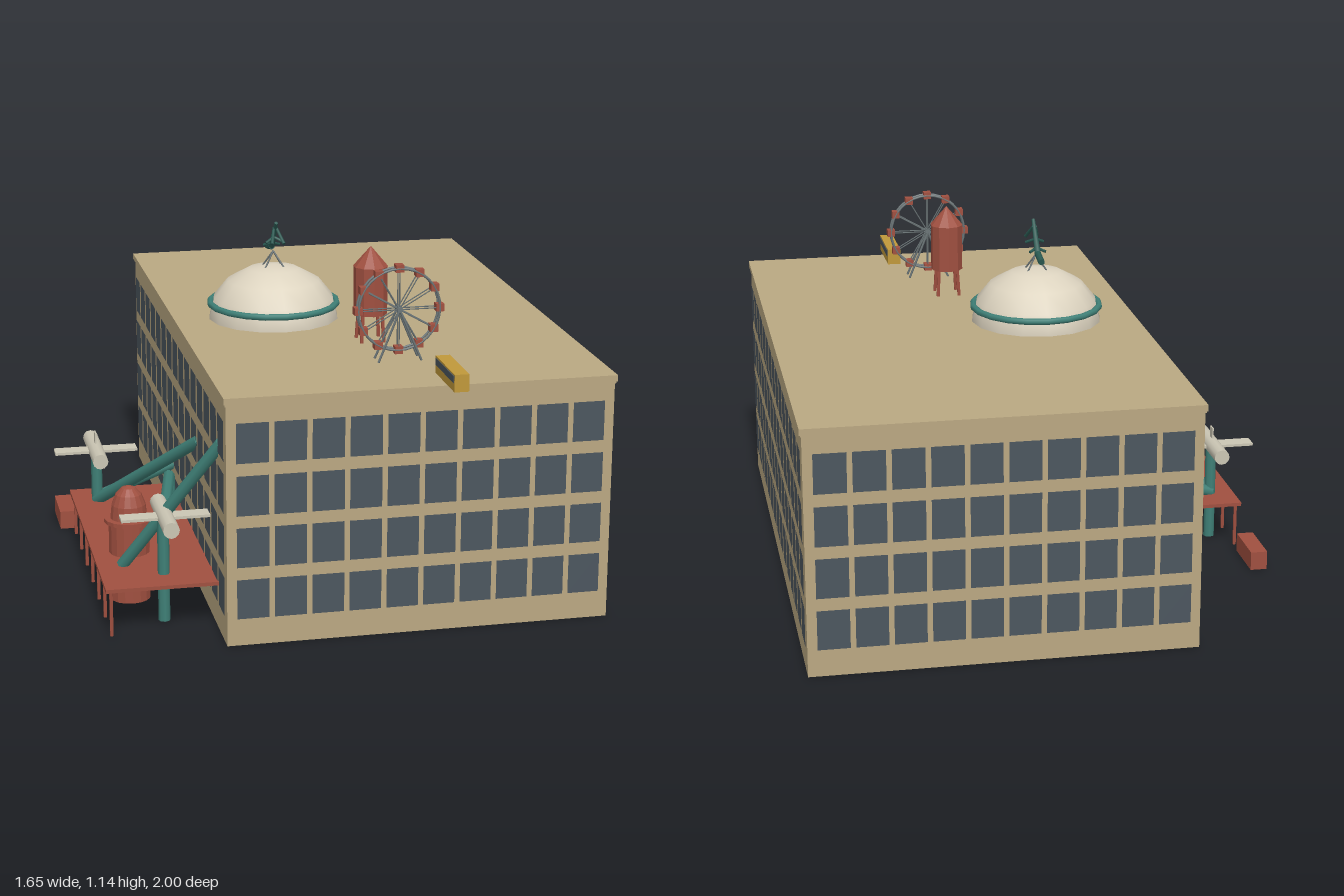
import * as THREE from 'three';

const mat = (name, color, side = THREE.FrontSide, flatShading = false) => {
  const m = new THREE.MeshStandardMaterial({ color, side, flatShading });
  m.name = name;
  return m;
};

export function createModel() {
  const model = new THREE.Group();
  const tan = mat('tanStone', 0xbaa882, THREE.DoubleSide);
  const glass = mat('windowGlass', 0x4c565f);
  const cream = mat('creamDome', 0xddd4c0, THREE.DoubleSide);
  const teal = mat('tealSteel', 0x3f8077);
  const darkTeal = mat('darkTealBronze', 0x2b5c54);
  const red = mat('rustRed', 0xa05040, THREE.DoubleSide, true);
  const yellow = mat('trolleyYellow', 0xc0983a);
  const pale = mat('paleMetal', 0xcbc6b4);
  const grey = mat('greyIron', 0x6c7678);

  const add = (name, geo, m, pos = [0, 0, 0], parent = model) => {
    const mesh = new THREE.Mesh(geo, m);
    mesh.name = name;
    mesh.position.set(...pos);
    parent.add(mesh);
    return mesh;
  };
  const group = (name, x, y, z) => {
    const g = new THREE.Group();
    g.name = name;
    g.position.set(x, y, z);
    model.add(g);
    return g;
  };
  const box = (name, w, h, d, m, pos, parent) => add(name, new THREE.BoxGeometry(w, h, d), m, pos, parent);
  // Round bar between two points
  const bar = (name, a, b, r, m, parent, r2 = r, sides = 8) => {
    const p = new THREE.Vector3(...a), q = new THREE.Vector3(...b);
    const d = q.clone().sub(p);
    const mesh = add(name, new THREE.CylinderGeometry(r2, r, d.length(), sides), m, [0, 0, 0], parent);
    mesh.position.copy(p).add(q).multiplyScalar(0.5);
    mesh.quaternion.setFromUnitVectors(new THREE.Vector3(0, 1, 0), d.normalize());
    return mesh;
  };
  // Box with some faces left out (0..5 = +x -x +y -y +z -z)
  const openBox = (w, h, d, omit) => {
    const g = new THREE.BoxGeometry(w, h, d);
    const index = Array.from(g.index.array).filter((_, i) => !omit.includes(Math.floor(i / 6)));
    g.setIndex(index);
    g.clearGroups();
    return g;
  };

  // Building: hollow walls, open below, with a cornice slab
  const X0 = -0.41, X1 = 0.815, Z0 = -0.993, Z1 = 0.915;
  const cx = (X0 + X1) / 2, cz = (Z0 + Z1) / 2;
  add('walls', openBox(X1 - X0, 0.775, Z1 - Z0, [2, 3]), tan, [cx, 0.3875, cz]);
  box('corniceLower', X1 - X0 + 0.006, 0.012, Z1 - Z0 + 0.006, tan, [cx, 0.779, cz]);
  box('roofCornice', X1 - X0 + 0.014, 0.02, Z1 - Z0 + 0.014, tan, [cx, 0.79, cz]);

  // Windows on all four walls
  const pane = new THREE.PlaneGeometry(0.101, 0.128);
  const rows = [0.152, 0.32, 0.487, 0.655];
  const windows = group('windows', 0, 0, 0);
  for (const y of rows) {
    for (let i = 0; i < 10; i++) {
      const x = cx + (i - 4.5) * 0.118;
      add('frontWindow', pane, glass, [x, y, Z1 + 0.003], windows);
      add('backWindow', pane, glass, [x, y, Z0 - 0.003], windows).rotation.y = Math.PI;
    }
    for (let i = 0; i < 15; i++) {
      const z = cz + (i - 7) * 0.125;
      add('leftWindow', pane, glass, [X1 + 0.003, y, z], windows).rotation.y = Math.PI / 2;
      add('rightWindow', pane, glass, [X0 - 0.003, y, z], windows).rotation.y = -Math.PI / 2;
    }
  }

  // Dome with its ring
  const dome = group('roofDome', -0.08, 0.8, 0);
  add('domeShell', new THREE.SphereGeometry(0.22, 16, 4, 0, Math.PI * 2, 0, Math.PI / 2), cream, [0, 0, 0], dome).scale.y = 0.82;
  add('domeRing', new THREE.TorusGeometry(0.214, 0.011, 8, 20), teal, [0, 0.05, 0], dome).rotation.x = Math.PI / 2;

  // Leaping ornament on a four-legged stand
  const orn = group('domeOrnament', -0.08, 0, 0);
  for (const sx of [-1, 1]) {
    for (const sz of [-1, 1])
      bar('standLeg', [sx * 0.036, 0.965, sz * 0.027], [0, 1.025, 0], 0.003, grey, orn, 0.003, 5);
    bar('foreLimb', [sx * 0.004, 1.112, 0.033], [sx * 0.02, 1.067, 0.083], 0.005, darkTeal, orn, 0.006, 5);
    bar('sideLimb', [0, 1.075, 0.012], [sx * 0.03, 1.06, 0.03], 0.005, darkTeal, orn, 0.005, 5);
    bar('hindLimb', [0, 1.05, -0.01], [sx * 0.027, 1.04, -0.03], 0.005, darkTeal, orn, 0.005, 5);
  }
  bar('ornamentTail', [0, 1.021, -0.095], [0, 1.036, -0.022], 0.011, darkTeal, orn, 0.011, 6);
  bar('ornamentBody', [0, 1.035, -0.028], [0, 1.132, 0.053], 0.011, darkTeal, orn, 0.006, 6);

  // Water tower
  const tower = group('waterTower', 0.168, 0.8, 0.365);
  add('tank', new THREE.CylinderGeometry(0.055, 0.055, 0.158, 10), red, [0, 0.169, 0], tower);
  add('tankRoof', new THREE.ConeGeometry(0.057, 0.066, 10), red, [0, 0.281, 0], tower);
  for (const sx of [-1, 1]) for (const sz of [-1, 1])
    bar('towerLeg', [sx * 0.037, 0, sz * 0.037], [sx * 0.032, 0.095, sz * 0.032], 0.006, red, tower, 0.006, 6);

  // Observation wheel
  const wheel = group('bigWheel', 0.2, 0.965, 0.608);
  for (const z of [-0.012, 0.012]) {
    add('wheelRim', new THREE.TorusGeometry(0.132, 0.004, 6, 32), grey, [0, 0, z], wheel);
    for (let i = 0; i < 12; i++) {
      const a = (i * Math.PI) / 6;
      bar('spoke', [0, 0, z], [0.132 * Math.cos(a), 0.132 * Math.sin(a), z], 0.002, grey, wheel, 0.002, 4);
    }
    for (const s of [-1, 1])
      bar('wheelLeg', [s * 0.07, -0.165, z * 2.2], [0, 0, z * 1.4], 0.004, grey, wheel, 0.004, 5);
  }
  for (let i = 0; i < 12; i++) {
    const a = (i * Math.PI) / 6;
    box('cabin', 0.026, 0.024, 0.03, red, [0.132 * Math.cos(a), 0.132 * Math.sin(a), 0], wheel);
  }
  bar('wheelHub', [0, 0, -0.02], [0, 0, 0.02], 0.009, grey, wheel);

  // Trolley car jutting over the front edge
  const trolley = group('trolley', 0.299, 0.828, 0.89);
  box('trolleyBody', 0.046, 0.055, 0.22, yellow, [0, 0, 0], trolley);
  for (const s of [-1, 1])
    box('trolleyWindows', 0.004, 0.022, 0.208, glass, [s * 0.023, 0.011, 0], trolley);

  // Side deck on thin posts
  box('deck', 0.362, 0.012, 0.97, red, [-0.584, 0.152, 0.285]);
  for (let i = 0; i < 7; i++)
    bar('deckPost', [-0.748, 0, -0.185 + i * 0.157], [-0.748, 0.15, -0.185 + i * 0.157], 0.006, red, model, 0.006, 6);

  // Silo through the deck
  const profile = [[0, 0], [0.066, 0], [0.066, 0.262], [0.08, 0.262], [0.08, 0.275], [0.06, 0.275],
    [0.055, 0.32], [0.042, 0.354], [0.022, 0.375], [0, 0.382]].map(p => new THREE.Vector2(...p));
  add('silo', new THREE.LatheGeometry(profile, 16), red, [-0.645, 0, 0.44]);

  // Teal columns and braces running into the wall
  const columns = [[-0.567, 0.345, 0.66], [-0.485, 0.345, 0.27], [-0.683, 0.32, -0.085]];
  for (const [x, y, z] of columns) bar('column', [x, 0, z], [x, y, z], 0.019, teal);
  bar('frontBrace', [-0.685, 0.158, 0.56], [-0.4, 0.615, 0.778], 0.02, teal);
  bar('middleBrace', [-0.685, 0.158, -0.08], [-0.4, 0.495, 0.37], 0.02, teal);
  bar('lowBrace', [-0.685, 0.165, -0.088], [-0.4, 0.255, -0.14], 0.02, teal);
  bar('crossBeam', [-0.485, 0.345, 0.26], [-0.565, 0.345, 0.67], 0.019, teal);

  // Two turbines: round body with a flat blade across
  for (const [x, y, z] of [[-0.685, 0.337, -0.085], [-0.565, 0.358, 0.685]]) {
    const t = group('turbine', x, y, z);
    bar('turbineBody', [0, 0, -0.14], [0, 0, 0.14], 0.026, pale, t, 0.026, 12);
    box('turbineBlade', 0.28, 0.009, 0.056, pale, [0, 0, 0], t);
  }
  box('turbineFin', 0.005, 0.06, 0.03, pale, [-0.685, 0.37, -0.085]);

  // Small open-bottomed crate on the ground
  add('crate', openBox(0.056, 0.063, 0.178, [3]), red, [-0.768, 0.0315, -0.333]);

  return model;
}
